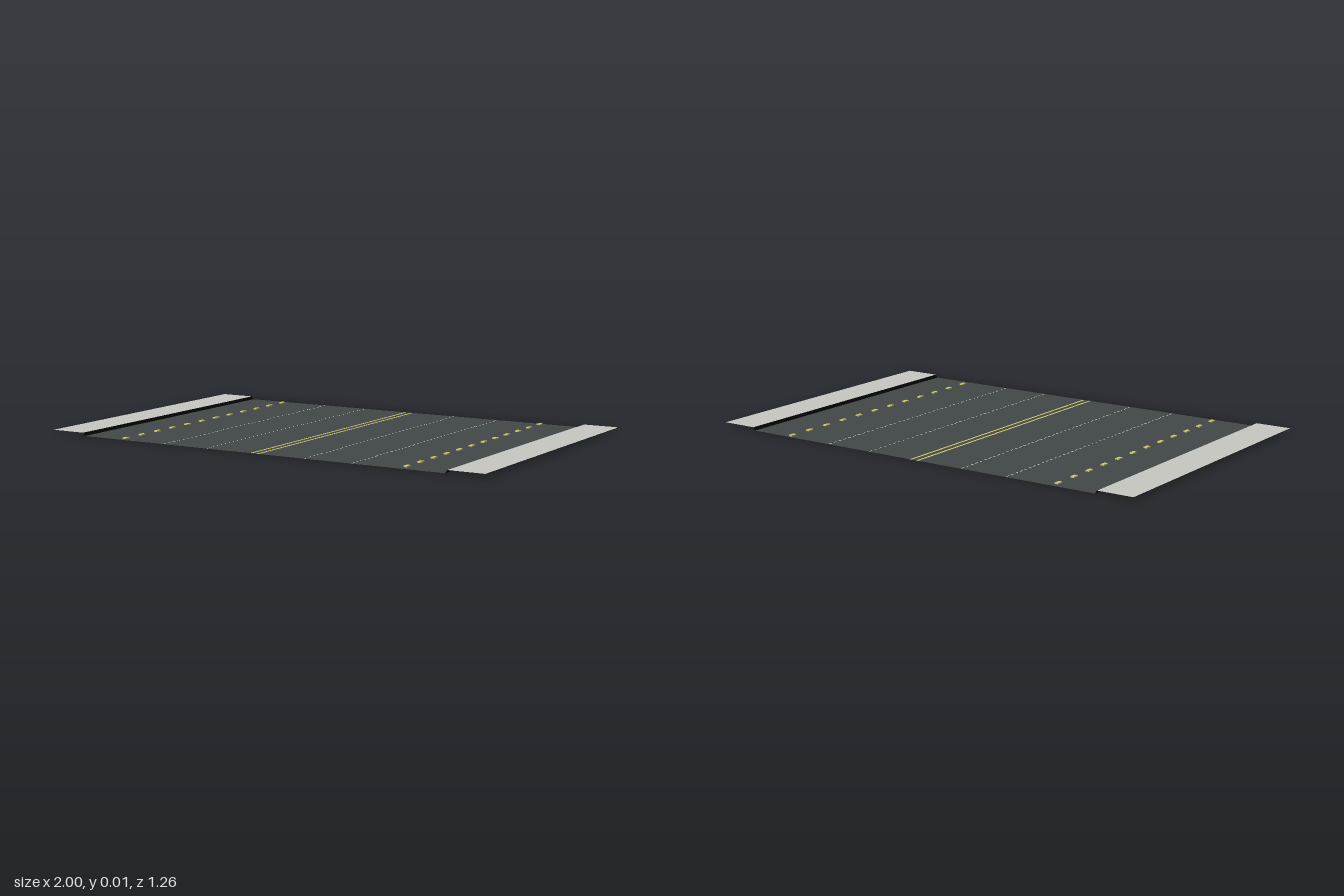
import * as THREE from 'three';
import { mergeGeometries } from 'three/addons/utils/BufferGeometryUtils.js';

const HALF = 0.632;      // half the road length
const KERB_IN = 0.836;   // foot of the kerb
const KERB_OUT = 0.845;  // top of the kerb
const WALK_Y = 0.013;    // pavement height

const material = (name, color) => {
  const m = new THREE.MeshStandardMaterial({ color, side: THREE.DoubleSide });
  m.name = name;
  return m;
};

// Flat rectangle facing up
const rect = (x0, x1, z0, z1, y = 0) =>
  new THREE.PlaneGeometry(x1 - x0, z1 - z0)
    .rotateX(-Math.PI / 2)
    .translate((x0 + x1) / 2, y, (z0 + z1) / 2);

export function createModel() {
  const group = new THREE.Group();
  const asphalt = material('asphalt grey', 0x424747);
  const concrete = material('pavement grey', 0xc8c8c3);
  const black = material('kerb black', 0x050505);
  const yellow = material('line yellow', 0xd2cc6c);
  const white = material('line white', 0xf2f2f2);

  const add = (name, parts, mat) => {
    const mesh = new THREE.Mesh(mergeGeometries(parts), mat);
    mesh.name = name;
    group.add(mesh);
  };

  // Marking columns, set flush into the asphalt
  const columns = [];
  for (const s of [-1, 1]) {
    columns.push({ x: s * 0.016, w: 0.010, kind: 'solid' });
    for (const x of [0.227, 0.437])
      columns.push({ x: s * x, w: 0.0045, kind: 'dash', pitch: 0.0301, len: 0.016, first: -0.617, count: 42 });
    columns.push({ x: s * 0.65, w: 0.016, kind: 'stud', pitch: 0.108, len: 0.029, first: s < 0 ? -0.591 : -0.607, count: 12 });
  }
  columns.sort((a, b) => a.x - b.x);

  const road = [], solid = [], dashes = [], studs = [];
  let edge = -KERB_IN;
  for (const c of columns) {
    const x0 = c.x - c.w / 2, x1 = c.x + c.w / 2;
    road.push(rect(edge, x0, -HALF, HALF));
    edge = x1;
    if (c.kind === 'solid') {
      solid.push(rect(x0, x1, -HALF, HALF));
      continue;
    }
    // Alternate asphalt gaps with painted dashes or raised studs
    let z = -HALF;
    for (let i = 0; i < c.count; i++) {
      const mid = c.first + i * c.pitch;
      const z0 = mid - c.len / 2, z1 = mid + c.len / 2;
      road.push(rect(x0, x1, z, z0));
      if (c.kind === 'dash') dashes.push(rect(x0, x1, z0, z1));
      else studs.push(new THREE.BoxGeometry(c.w, 0.005, c.len).translate(c.x, 0.0025, mid));
      z = z1;
    }
    road.push(rect(x0, x1, z, HALF));
  }
  road.push(rect(edge, KERB_IN, -HALF, HALF));

  add('roadSurface', road, asphalt);
  add('centreLines', solid, yellow);
  add('laneDashes', dashes, white);
  add('laneStuds', studs, yellow);

  // Sloped kerb and raised pavement on each side
  const width = KERB_OUT - KERB_IN;
  for (const s of [-1, 1]) {
    const side = s > 0 ? 'left' : 'right';
    const kerb = new THREE.PlaneGeometry(Math.hypot(width, WALK_Y), 2 * HALF)
      .rotateX(-Math.PI / 2)
      .rotateZ(s * Math.atan2(WALK_Y, width))
      .translate(s * (KERB_IN + KERB_OUT) / 2, WALK_Y / 2, 0);
    add(side + 'Kerb', [kerb], black);
    const xs = [s * KERB_OUT, s].sort((a, b) => a - b);
    add(side + 'Pavement', [rect(xs[0], xs[1], -HALF, HALF, WALK_Y)], concrete);
  }
  return group;
}
